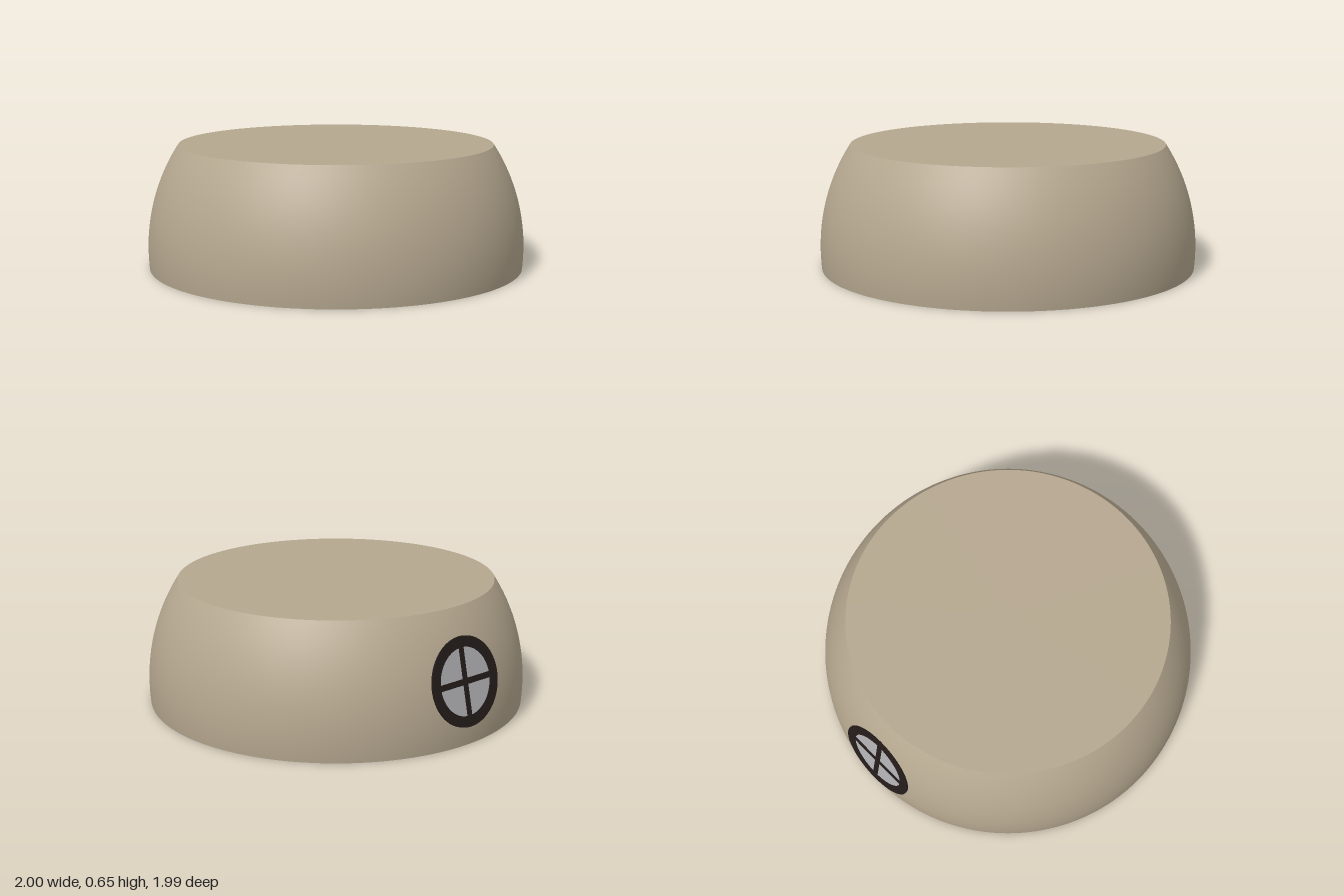
import * as THREE from 'three';

const R = 0.995;            // sphere radius
const CENTRE_Y = 0.1;       // height of the widest ring
const HEIGHT = 0.65;
const SHIFT_X = 0.004;
const TILT = THREE.MathUtils.degToRad(12.5);
const NORMAL = new THREE.Vector3(-Math.cos(TILT), Math.sin(TILT), 0);
const FLAT = 0.97;          // distance of the window's flat seat from the sphere centre

export function createModel() {
  const model = new THREE.Group();
  const stone = new THREE.MeshStandardMaterial({ color: 0xb5a78f });
  stone.name = 'stone';
  const iron = new THREE.MeshStandardMaterial({ color: 0x231b1a });
  iron.name = 'darkFrame';
  const glass = new THREE.MeshStandardMaterial({ color: 0xaeaeb2 });
  glass.name = 'greyGlass';

  const add = (parent, name, geometry, material) => {
    const mesh = new THREE.Mesh(geometry, material);
    mesh.name = name;
    parent.add(mesh);
    return mesh;
  };

  // Truncated sphere, origin at the sphere centre
  const body = new THREE.Group();
  body.name = 'body';
  body.position.set(SHIFT_X, CENTRE_Y, 0);
  model.add(body);

  const low = Math.asin(-CENTRE_Y / R);
  const high = Math.asin((HEIGHT - CENTRE_Y) / R);
  const profile = [];
  for (let i = 0; i <= 40; i++) {
    const a = low + (high - low) * i / 40;
    profile.push(new THREE.Vector2(R * Math.cos(a), R * Math.sin(a)));
  }
  const wall = new THREE.LatheGeometry(profile, 160);

  // Press the wall flat where the window sits
  const pos = wall.attributes.position;
  const v = new THREE.Vector3();
  for (let i = 0; i < pos.count; i++) {
    v.fromBufferAttribute(pos, i);
    const over = v.dot(NORMAL) - FLAT;
    if (over > 0) {
      v.addScaledVector(NORMAL, -over);
      pos.setXYZ(i, v.x, v.y, v.z);
    }
  }
  add(body, 'wall', wall, stone);

  // Flat top and bottom
  const top = add(body, 'top', new THREE.CircleGeometry(R * Math.cos(high), 160), stone);
  top.rotation.x = -Math.PI / 2;
  top.position.y = HEIGHT - CENTRE_Y;
  const base = add(body, 'base', new THREE.CircleGeometry(R * Math.cos(low), 160), stone);
  base.rotation.x = Math.PI / 2;
  base.position.y = -CENTRE_Y;

  // Round window: ring, pane and crossed bars, facing local +z
  const roundWindow = new THREE.Group();
  roundWindow.name = 'roundWindow';
  roundWindow.position.copy(NORMAL).multiplyScalar(FLAT);
  roundWindow.lookAt(NORMAL.clone().multiplyScalar(2));
  body.add(roundWindow);

  const ring = new THREE.Shape().absarc(0, 0, 0.222, 0, Math.PI * 2);
  ring.holes.push(new THREE.Path().absarc(0, 0, 0.168, 0, Math.PI * 2, true));
  add(roundWindow, 'windowFrame',
    new THREE.ExtrudeGeometry(ring, { depth: 0.008, bevelEnabled: false, curveSegments: 48 }), iron);
  add(roundWindow, 'windowPane', new THREE.CircleGeometry(0.175, 64), glass).position.z = 0.004;
  for (const [name, w, h] of [['uprightBar', 0.03, 0.345], ['crossBar', 0.345, 0.03]]) {
    add(roundWindow, name, new THREE.BoxGeometry(w, h, 0.006), iron).position.z = 0.0045;
  }
  return model;
}
